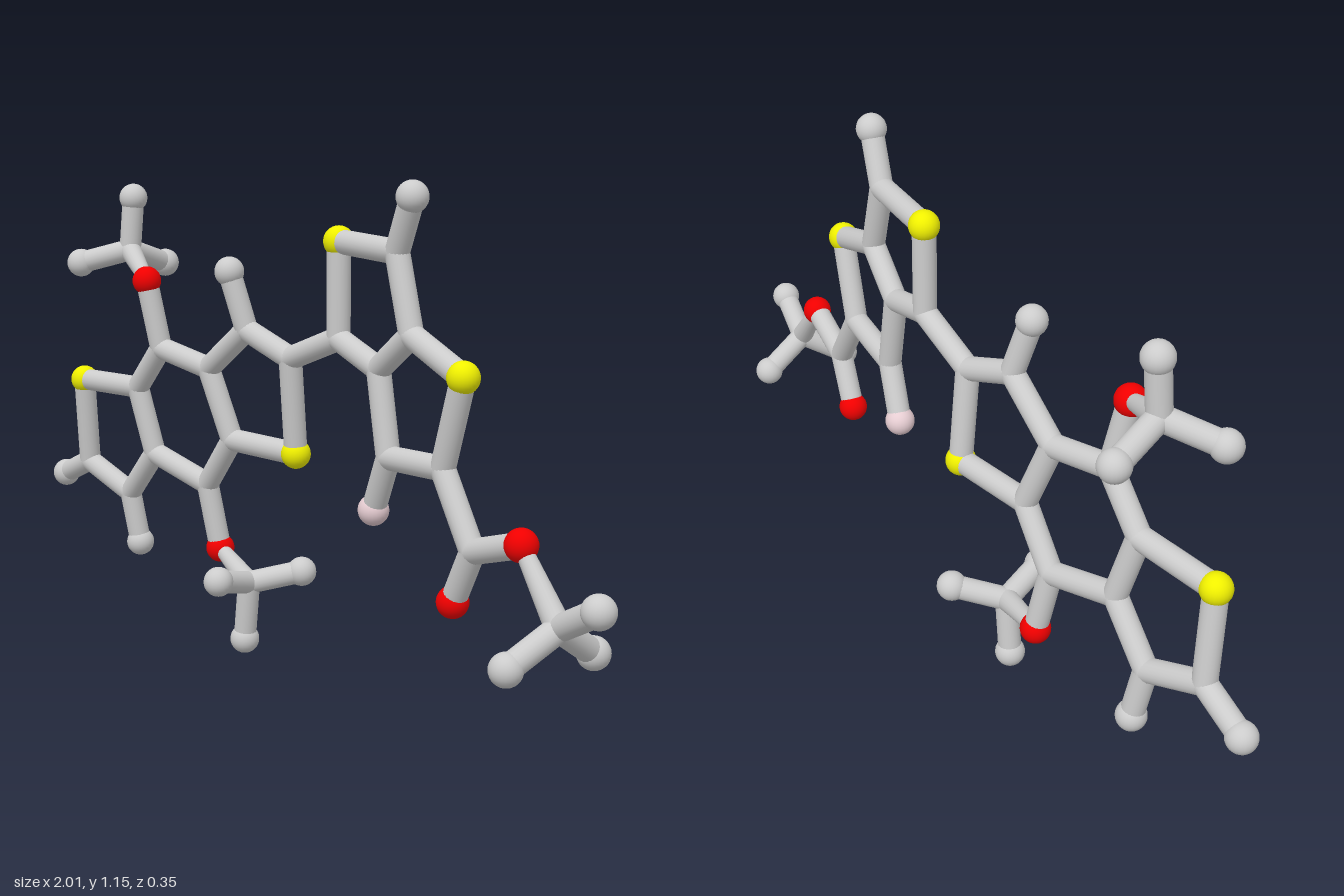
import * as THREE from 'three';

const STICK = 0.027, BALL = 0.035;
const materials = {
  C: new THREE.MeshStandardMaterial({ color: 0xcccccc }),
  H: new THREE.MeshStandardMaterial({ color: 0xcccccc }),
  S: new THREE.MeshStandardMaterial({ color: 0xf0f000 }),
  O: new THREE.MeshStandardMaterial({ color: 0xf00000 }),
  F: new THREE.MeshStandardMaterial({ color: 0xe6cdd2 }),
};
const names = { C: 'carbonJoint', H: 'hydrogenBall', S: 'sulfurBall', O: 'oxygenBall', F: 'fluorineBall' };

// The two flat halves of the molecule lean slightly in opposite directions
const leftZ = (x, y) => -0.124 * x + 0.124 * y - 0.142;
const rightZ = (x, y) => 0.115 * x + 0.015 * y - 0.07;

// Atoms: the first letter of a key is the element; z is optional
const leftAtoms = {
  S1: [-0.83, 0.61], C2: [-0.85, 0.39], C3: [-0.70, 0.325], C4: [-0.585, 0.445], C5: [-0.62, 0.61],
  C6: [-0.515, 0.72], C7: [-0.35, 0.685], C8: [-0.295, 0.515], C9: [-0.40, 0.39],
  C10: [-0.205, 0.79], C11: [-0.07, 0.735], S2: [-0.083, 0.508],
  H2: [-0.97, 0.34, 0.012], H3: [-0.685, 0.195], H10: [-0.235, 0.925, 0.008],
  // upper methoxy
  O1: [-0.535, 0.885, 0.037], C20: [-0.685, 0.95, -0.015],
  H20: [-0.675, 1.08, -0.02], H21: [-0.79, 0.915, 0.065], H22: [-0.72, 0.91, -0.145],
  // lower methoxy
  O2: [-0.38, 0.23], C21: [-0.215, 0.18, -0.03],
  H23: [-0.235, 0.037, -0.032], H24: [-0.178, 0.208, 0.087], H25: [-0.135, 0.208, -0.128],
};
const rightAtoms = {
  C12: [0.095, 0.795], S3: [0.10, 1.01], C13: [0.32, 1.0], C14: [0.37, 0.83], C17: [0.25, 0.745],
  S4: [0.548, 0.762], C15: [0.48, 0.565], C16: [0.285, 0.557],
  H13: [0.38, 1.117, -0.005], F1: [0.222, 0.43, -0.043],
  // ester
  C18: [0.58, 0.41], O3: [0.515, 0.29], O4: [0.735, 0.455], C22: [0.85, 0.315, 0.033],
  H26: [0.965, 0.375, 0.05], H27: [0.815, 0.245, 0.138], H28: [0.843, 0.245, -0.075],
};

// Bonds as chains of neighbouring atoms
const chains = [
  'S1 C2 C3 C4 C5 S1', 'C5 C6 C7 C8 C9 C4', 'C7 C10 C11 S2 C8',
  'C2 H2', 'C3 H3', 'C10 H10', 'C6 O1 C20 H20', 'H21 C20 H22', 'C9 O2 C21 H23', 'H24 C21 H25',
  'C11 C12 S3 C13 C14 C17 C12', 'C14 S4 C15 C16 C17', 'C13 H13', 'C16 F1',
  'C15 C18 O3', 'C18 O4 C22 H26', 'H27 C22 H28',
];
// Oxygen to methyl sticks narrow towards the oxygen
const tapered = new Set(['O1 C20', 'O2 C21', 'O4 C22']);

export function createModel() {
  const model = new THREE.Group();
  model.name = 'molecule';
  const positions = {};

  // Balls and joints
  const ballGeometry = new THREE.SphereGeometry(BALL, 24, 16);
  const jointGeometry = new THREE.SphereGeometry(STICK, 24, 16);
  for (const [atoms, plane] of [[leftAtoms, leftZ], [rightAtoms, rightZ]]) {
    for (const [key, [x, y, z = plane(x, y)]] of Object.entries(atoms)) {
      const element = key[0];
      const ball = new THREE.Mesh(element === 'C' ? jointGeometry : ballGeometry, materials[element]);
      ball.name = names[element];
      ball.position.set(x, y, z);
      positions[key] = ball.position;
      model.add(ball);
    }
  }

  // Sticks
  const up = new THREE.Vector3(0, 1, 0);
  for (const chain of chains) {
    const keys = chain.split(' ');
    for (let i = 1; i < keys.length; i++) {
      const a = positions[keys[i - 1]], b = positions[keys[i]];
      const dir = b.clone().sub(a);
      const startRadius = tapered.has(`${keys[i - 1]} ${keys[i]}`) ? 0.017 : STICK;
      const stick = new THREE.Mesh(
        new THREE.CylinderGeometry(STICK, startRadius, dir.length(), 20, 1, true), materials.C);
      stick.name = 'bondStick';
      stick.position.copy(a).addScaledVector(dir, 0.5);
      stick.quaternion.setFromUnitVectors(up, dir.normalize());
      model.add(stick);
    }
  }
  return model;
}
